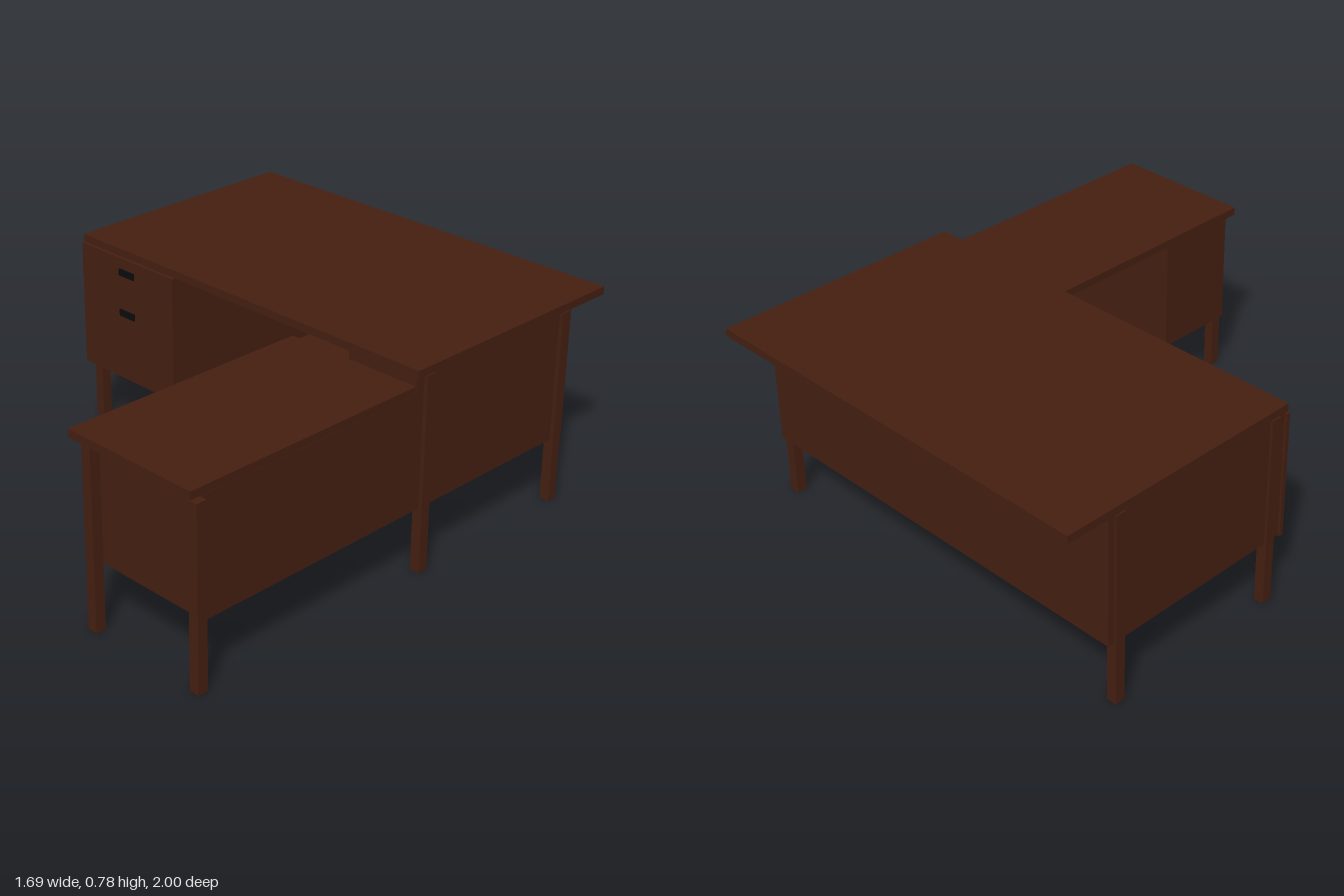
import * as THREE from 'three';

export function createModel() {
  const desk = new THREE.Group();
  desk.name = 'cornerDesk';
  const wood = new THREE.MeshStandardMaterial({ color: 0x451f11 });
  const black = new THREE.MeshStandardMaterial({ color: 0x0c0c0e });

  // Box given by its lower and upper limits on each axis
  function box(name, [x0, x1], [y0, y1], [z0, z1], material = wood) {
    const mesh = new THREE.Mesh(new THREE.BoxGeometry(x1 - x0, y1 - y0, z1 - z0), material);
    mesh.position.set((x0 + x1) / 2, (y0 + y1) / 2, (z0 + z1) / 2);
    mesh.name = name;
    desk.add(mesh);
  }

  // Main desk: top, back panel and right-hand cabinet walls
  box('mainTop', [-0.84, 0.84], [0.75, 0.78], [-1, 0]);
  box('backPanel', [-0.835, 0.83], [0.25, 0.75], [-0.825, -0.8]);
  box('drawerCabinet', [-0.835, -0.34], [0.25, 0.745], [-0.82, -0.01]);
  box('drawerFront', [-0.845, -0.34], [0.25, 0.745], [-0.01, 0.005]);
  box('cornerCabinet', [0.53, 0.83], [0.25, 0.75], [-0.82, -0.002]);
  box('footShelf', [-0.34, 0.53], [0.25, 0.295], [-0.8, -0.48]);

  // Drawer handles
  for (const y of [0.69, 0.525]) {
    box('drawerHandle', [-0.63, -0.55], [y - 0.013, y + 0.013], [0.004, 0.012], black);
  }

  // Lower side wing
  box('wingTop', [0.27, 0.829], [0.69, 0.72], [0, 1]);
  box('wingSidePanel', [0.81, 0.83], [0.25, 0.69], [-0.002, 0.95]);
  box('wingCabinet', [0.272, 0.825], [0.25, 0.69], [0.62, 0.95]);

  // Square legs
  function leg(x, z, height) {
    box('leg', [x - 0.02, x + 0.02], [0, height], [z - 0.02, z + 0.02]);
  }
  for (const x of [-0.825, 0.825]) {
    for (const z of [-0.06, -0.78]) leg(x, z, 0.75);
  }
  for (const x of [0.34, 0.825]) leg(x, 0.97, 0.68);

  return desk;
}
